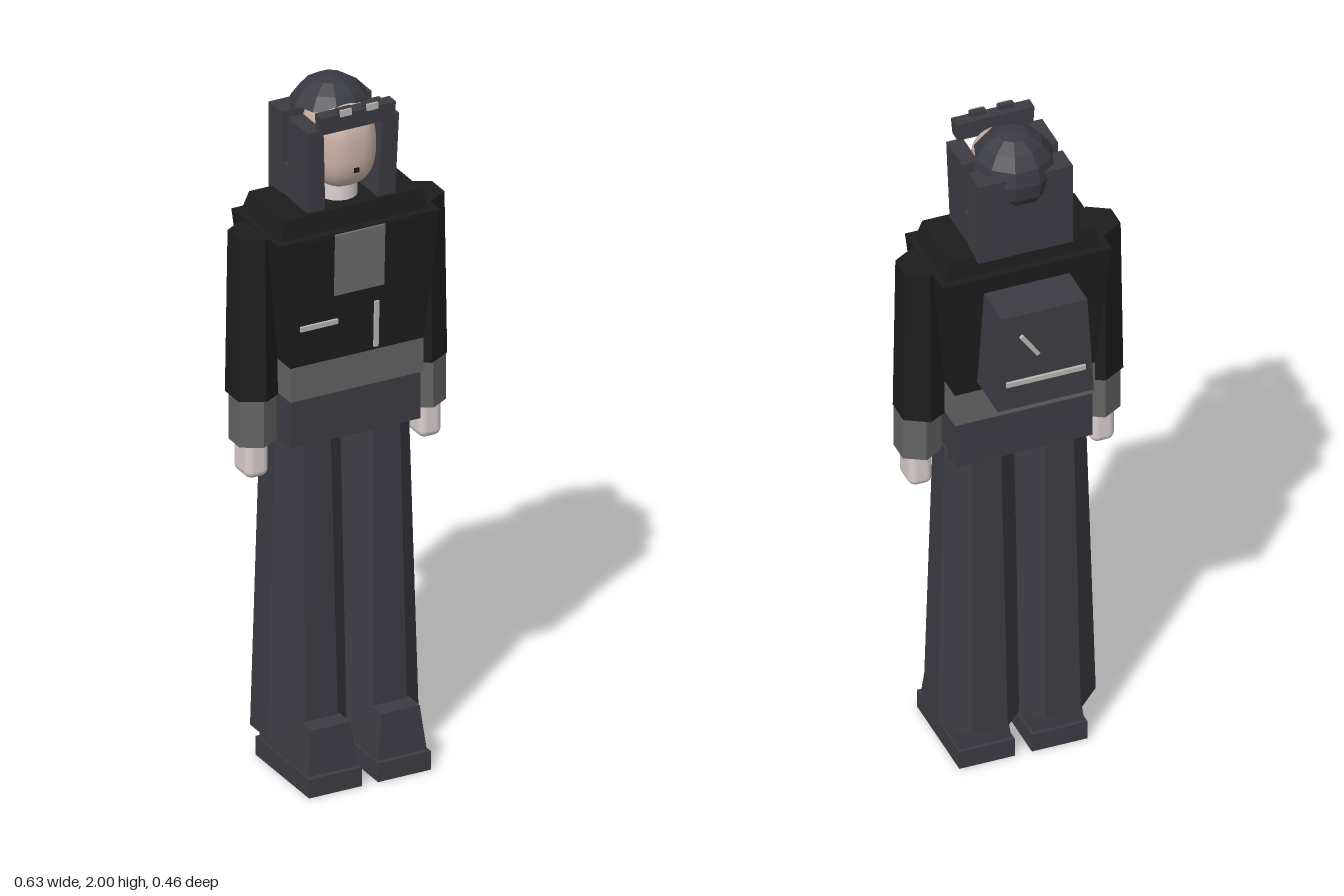
import * as THREE from 'three';
import { RoundedBoxGeometry } from 'three/addons/geometries/RoundedBoxGeometry.js';

const mat = (name, color, opts = {}) => {
  const m = new THREE.MeshStandardMaterial({ color, ...opts });
  m.name = name;
  return m;
};

export function createModel() {
  const flat = { flatShading: true };
  const black = mat('black leather', 0x1d1d1d, flat);
  const dark = mat('charcoal cloth', 0x3d3c43, flat);
  const hair = mat('dark cap', 0x3a3a42, { flatShading: true, side: THREE.DoubleSide });
  const grey = mat('grey knit', 0x646464, flat);
  const shirt = mat('grey shirt', 0x6e6e6e, flat);
  const metal = mat('pale metal', 0xbcb6b4, flat);
  const skin = mat('face skin', 0xcbb2a6);
  const pale = mat('pale skin', 0xd9cfce);

  const root = new THREE.Group();
  root.name = 'figure';
  const add = (name, geo, material, x = 0, y = 0, z = 0) => {
    const mesh = new THREE.Mesh(geo, material);
    mesh.name = name;
    mesh.position.set(x, y, z);
    root.add(mesh);
    return mesh;
  };

  // Box between two heights; each end is [x0, x1, z0, z1]
  const block = (name, material, y0, y1, low, high = low) => {
    const g = new THREE.BoxGeometry(1, 1, 1);
    const p = g.attributes.position;
    for (let i = 0; i < p.count; i++) {
      const top = p.getY(i) > 0;
      const e = top ? high : low;
      p.setXYZ(i, p.getX(i) > 0 ? e[1] : e[0], top ? y1 : y0, p.getZ(i) > 0 ? e[3] : e[2]);
    }
    g.computeVertexNormals();
    return add(name, g, material);
  };
  const mirrorEnd = (e, s) => (s > 0 ? e : [-e[1], -e[0], e[2], e[3]]);

  // Torso, from the hem up to the collar
  block('hem', dark, 1.0, 1.14, [-0.195, 0.195, -0.075, 0.15]);
  block('waistband', grey, 1.14, 1.24, [-0.2, 0.2, -0.08, 0.157]);
  block('jacket', black, 1.24, 1.615, [-0.2, 0.2, -0.08, 0.157], [-0.242, 0.242, -0.095, 0.17]);
  block('collar', black, 1.61, 1.67, [-0.225, 0.225, -0.075, 0.148], [-0.205, 0.205, -0.065, 0.137]);

  // Shirt panel, lapels and zips follow the sloping chest
  const chest = (y) => 0.157 + 0.013 * (y - 1.24) / 0.375;
  const slope = Math.atan2(0.013, 0.375);
  const plate = (name, w, h, x, y, material) => {
    const m = add(name, new THREE.BoxGeometry(w, h, 0.008), material, x, y, chest(y) + 0.003);
    m.rotation.x = slope;
  };
  plate('shirtPanel', 0.15, 0.18, 0, 1.522, shirt);
  plate('pocketZip', 0.112, 0.014, -0.118, 1.353, metal);
  plate('frontZip', 0.013, 0.135, 0.055, 1.318, metal);
  for (const s of [-1, 1]) {
    const lapel = new THREE.Shape([[0.075, 0], [0.17, 0], [0.12, -0.17], [0.075, -0.2]]
      .map(([x, y]) => new THREE.Vector2(x * s, y)));
    const m = add('lapel', new THREE.ExtrudeGeometry(lapel, { depth: 0.004, bevelEnabled: false }),
      black, 0, 1.61, chest(1.61));
    m.rotation.x = slope;
  }

  for (const s of [-1, 1]) {
    // Arms
    add('sleeve', new THREE.CylinderGeometry(0.068, 0.075, 0.475, 6), black, s * 0.249, 1.373, 0.04);
    add('cuff', new THREE.CylinderGeometry(0.064, 0.064, 0.16, 6), grey, s * 0.255, 1.08, 0.047);
    add('hand', new RoundedBoxGeometry(0.068, 0.13, 0.092, 4, 0.022), pale, s * 0.26, 0.967, 0.048);

    // Flared trouser legs
    const leg = new THREE.CylinderGeometry(0.106, 0.132, 0.9, 8);
    leg.rotateY(Math.PI / 8);
    add('trouserLeg', leg, dark, s * 0.104, 0.57, 0.03);

    // Boots
    block('bootSole', dark, 0, 0.055, mirrorEnd([0.024, 0.183, -0.07, 0.23], s));
    block('bootUpper', dark, 0.055, 0.185,
      mirrorEnd([0.03, 0.178, -0.06, 0.216], s), mirrorEnd([0.047, 0.162, -0.045, 0.207], s));

    // Hair panels framing the face
    block('sideHair', dark, 1.66, 1.91,
      mirrorEnd([0.078, 0.132, 0.025, 0.125], s), mirrorEnd([0.09, 0.137, 0.025, 0.138], s));
    block('sideHairJoin', dark, 1.66, 1.76, mirrorEnd([0.085, 0.13, -0.02, 0.03], s));
  }

  // Head
  add('neck', new THREE.CylinderGeometry(0.05, 0.055, 0.12, 16), pale, 0, 1.68, 0.05);
  const head = new THREE.SphereGeometry(1, 32, 24);
  const hp = head.attributes.position;
  const square = (v) => Math.sign(v) * Math.pow(Math.abs(v), 0.78);
  for (let i = 0; i < hp.count; i++) {
    hp.setXYZ(i, square(hp.getX(i)) * 0.09, square(hp.getY(i)) * 0.125, square(hp.getZ(i)) * 0.105);
  }
  head.computeVertexNormals();
  add('face', head, skin, 0, 1.83, 0.053);
  add('mouth', new THREE.BoxGeometry(0.014, 0.014, 0.006), black, 0, 1.78, 0.154);

  // Faceted cap, reaching lower at the back
  add('capTop', new THREE.SphereGeometry(0.117, 10, 3, 0, Math.PI * 2, 0, Math.PI * 0.36), hair, 0, 1.883, 0.007);
  add('capBack', new THREE.SphereGeometry(0.117, 5, 4, 0, Math.PI, Math.PI * 0.36, Math.PI * 0.5),
    hair, 0, 1.883, 0.007).rotation.y = Math.PI;
  // The open half of the sphere faces the front
  block('backHair', dark, 1.66, 1.91, [-0.135, 0.135, -0.085, -0.012]);

  // Raised goggles
  block('goggleBand', dark, 1.912, 1.962, [-0.108, 0.108, 0.128, 0.166], [-0.112, 0.112, 0.13, 0.167]);
  for (const s of [-1, 1]) {
    block('goggleMount', dark, 1.955, 1.975, [s * 0.04 - 0.022, s * 0.04 + 0.022, 0.15, 0.165]);
    block('goggleLens', metal, 1.955, 1.974, [s * 0.04 - 0.017, s * 0.04 + 0.017, 0.163, 0.171]);
  }

  // Backpack with zips
  block('backpack', dark, 1.27, 1.565, [-0.137, 0.137, -0.228, -0.075], [-0.122, 0.122, -0.22, -0.075]);
  add('packZip', new THREE.BoxGeometry(0.226, 0.014, 0.009), metal, 0, 1.353, -0.229);
  add('packSlantZip', new THREE.BoxGeometry(0.012, 0.085, 0.009), metal, 0.045, 1.465, -0.226)
    .rotation.z = -0.6;

  return root;
}
